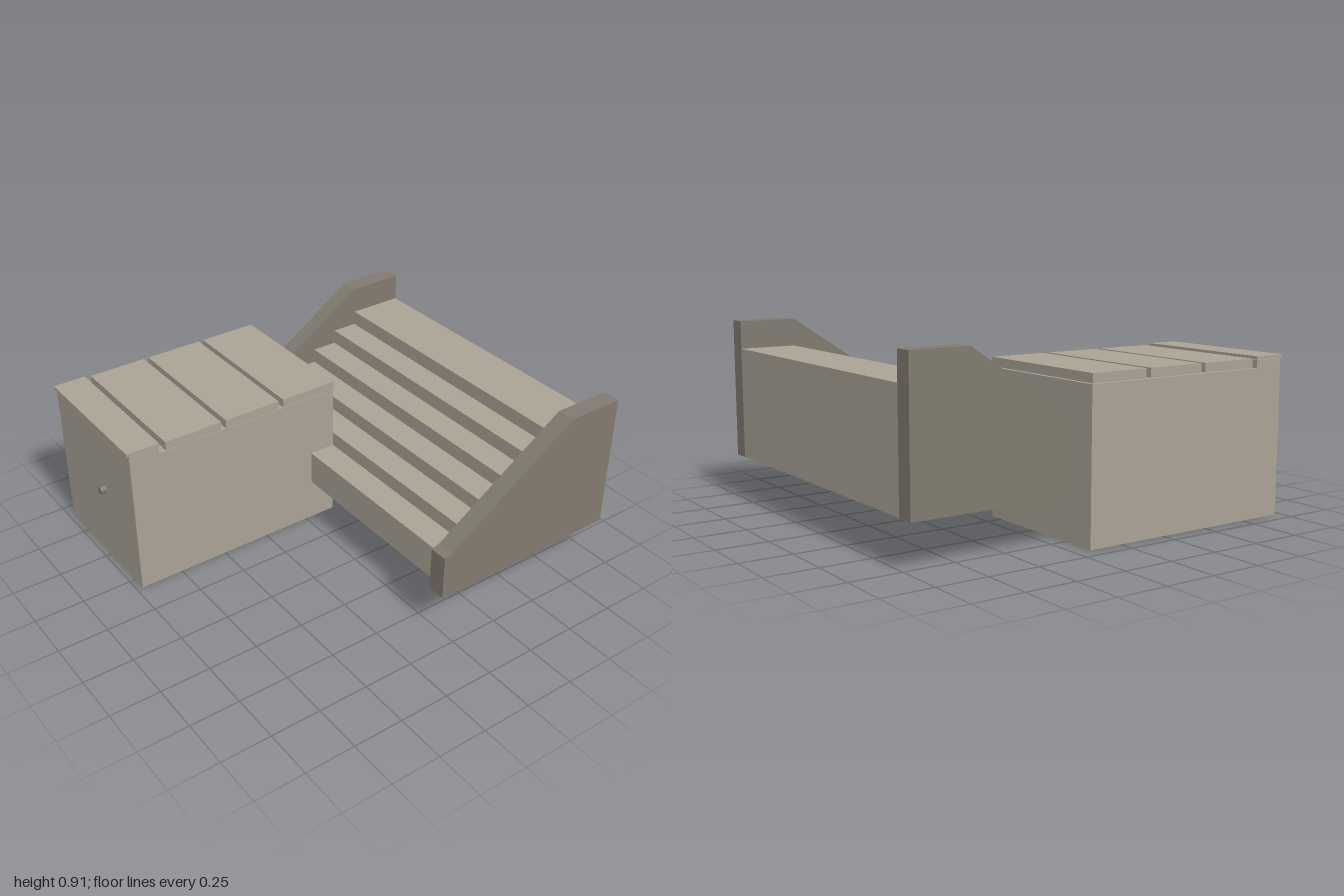
import * as THREE from 'three';

export function createModel() {
  const model = new THREE.Group();
  const pale = new THREE.MeshStandardMaterial({ name: 'pale wood', color: 0xa9a294 });
  const dark = new THREE.MeshStandardMaterial({ name: 'dark wood', color: 0x807a6f });

  // Box given by its limits on each axis
  const block = (name, x0, x1, y0, y1, z0, z1, material = pale) => {
    const mesh = new THREE.Mesh(new THREE.BoxGeometry(x1 - x0, y1 - y0, z1 - z0), material);
    mesh.position.set((x0 + x1) / 2, (y0 + y1) / 2, (z0 + z1) / 2);
    mesh.name = name;
    model.add(mesh);
  };

  // Cabinet with a raised front edge
  block('cabinetBody', -0.925, -0.175, 0, 0.722, -0.17, 0.97);
  block('cabinetFrontRail', -0.925, -0.175, 0.722, 0.76, 0.815, 0.97);

  // Top boards
  block('frontTopBoard', -0.927, -0.173, 0.762, 0.778, 0.815, 0.982);
  for (let i = 0; i < 3; i++) {
    const z = -0.17 + i * 0.326;
    block('topBoard' + (i + 1), -0.927, -0.173, 0.726, 0.77, z, z + 0.3);
  }

  // Door knob
  const knob = new THREE.Mesh(new THREE.CylinderGeometry(0.02, 0.02, 0.032, 10), dark);
  knob.rotation.x = Math.PI / 2;
  knob.position.set(-0.48, 0.413, 0.984);
  knob.name = 'knob';
  model.add(knob);

  // Staircase: one solid tread per step, the last reaching the back
  for (let i = 0; i < 6; i++) {
    const front = -0.035 - i * 0.136;
    const back = i === 5 ? -1 : front - 0.136;
    block('step' + (i + 1), -0.725, 0.835, 0.22, 0.395 + i * 0.075, back, front);
  }

  // Sloped side panels, drawn as (-z, y) and extruded along x
  const profile = new THREE.Shape([
    [-0.015, 0.218], [1, 0.218], [1, 0.907], [0.71, 0.907], [0.03, 0.455], [-0.015, 0.44],
  ].map(([a, b]) => new THREE.Vector2(a, b)));
  const panelGeometry = new THREE.ExtrudeGeometry(profile, { depth: 0.09, bevelEnabled: false });
  panelGeometry.rotateY(Math.PI / 2);
  [['rightSidePanel', -0.815], ['leftSidePanel', 0.835]].forEach(([name, x]) => {
    const panel = new THREE.Mesh(panelGeometry, dark);
    panel.position.x = x;
    panel.name = name;
    model.add(panel);
  });

  return model;
}
